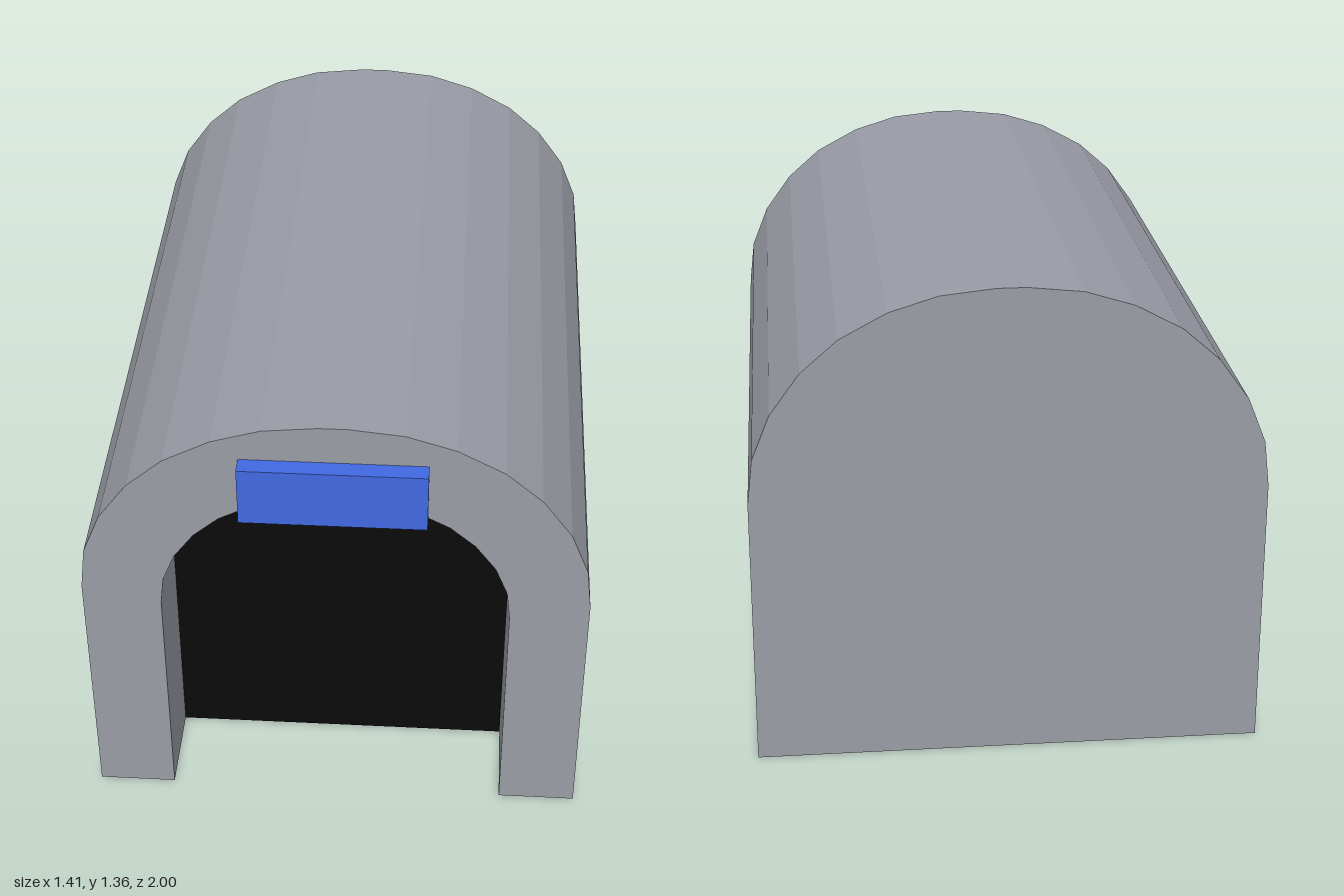
import * as THREE from 'three';

// Half of the arch curve, from the springing line to the crown, [x, rise]
const ARCH = [[0.705, 0], [0.69, 0.13], [0.64, 0.255], [0.557, 0.37], [0.455, 0.46],
  [0.325, 0.53], [0.19, 0.572], [0.04, 0.588]];

// Full arch outline from right foot over the crown to left foot
function archPoints(scale, spring) {
  const half = ARCH.map(([x, r]) => new THREE.Vector2(x * scale, spring + r * scale));
  const mirrored = half.map((p) => new THREE.Vector2(-p.x, p.y)).reverse();
  const foot = ARCH[0][0] * scale;
  return [new THREE.Vector2(foot, 0), ...half, ...mirrored, new THREE.Vector2(-foot, 0)];
}

function slab(name, points, z0, z1, material) {
  const geometry = new THREE.ExtrudeGeometry(new THREE.Shape(points), { depth: z1 - z0, bevelEnabled: false });
  geometry.translate(0, 0, z0);
  const mesh = new THREE.Mesh(geometry, material);
  mesh.name = name;
  return mesh;
}

export function createModel() {
  const group = new THREE.Group();
  group.name = 'tunnel';
  const stone = new THREE.MeshStandardMaterial({ color: 0x9a9ca6, flatShading: true });
  const dark = new THREE.MeshStandardMaterial({ color: 0x0a0a0a, flatShading: true });
  const blue = new THREE.MeshStandardMaterial({ color: 0x4169e1, flatShading: true });

  const outer = archPoints(1, 0.77);
  const inner = archPoints(0.688, 0.72);
  const wallFront = 0.64;

  // Solid vaulted body, then the open portal frame in front of it
  group.add(slab('body', outer, -1, wallFront, stone));
  group.add(slab('portalFrame', [...outer, ...[...inner].reverse()], wallFront, 0.95, stone));

  // Dark panel closing the recess
  group.add(slab('darkOpening', inner, wallFront, 0.69, dark));

  // Blank plaque over the opening
  const plaque = new THREE.Mesh(new THREE.BoxGeometry(0.506, 0.176, 0.05), blue);
  plaque.position.set(0, 1.157, 0.975);
  plaque.name = 'plaque';
  group.add(plaque);

  return group;
}
